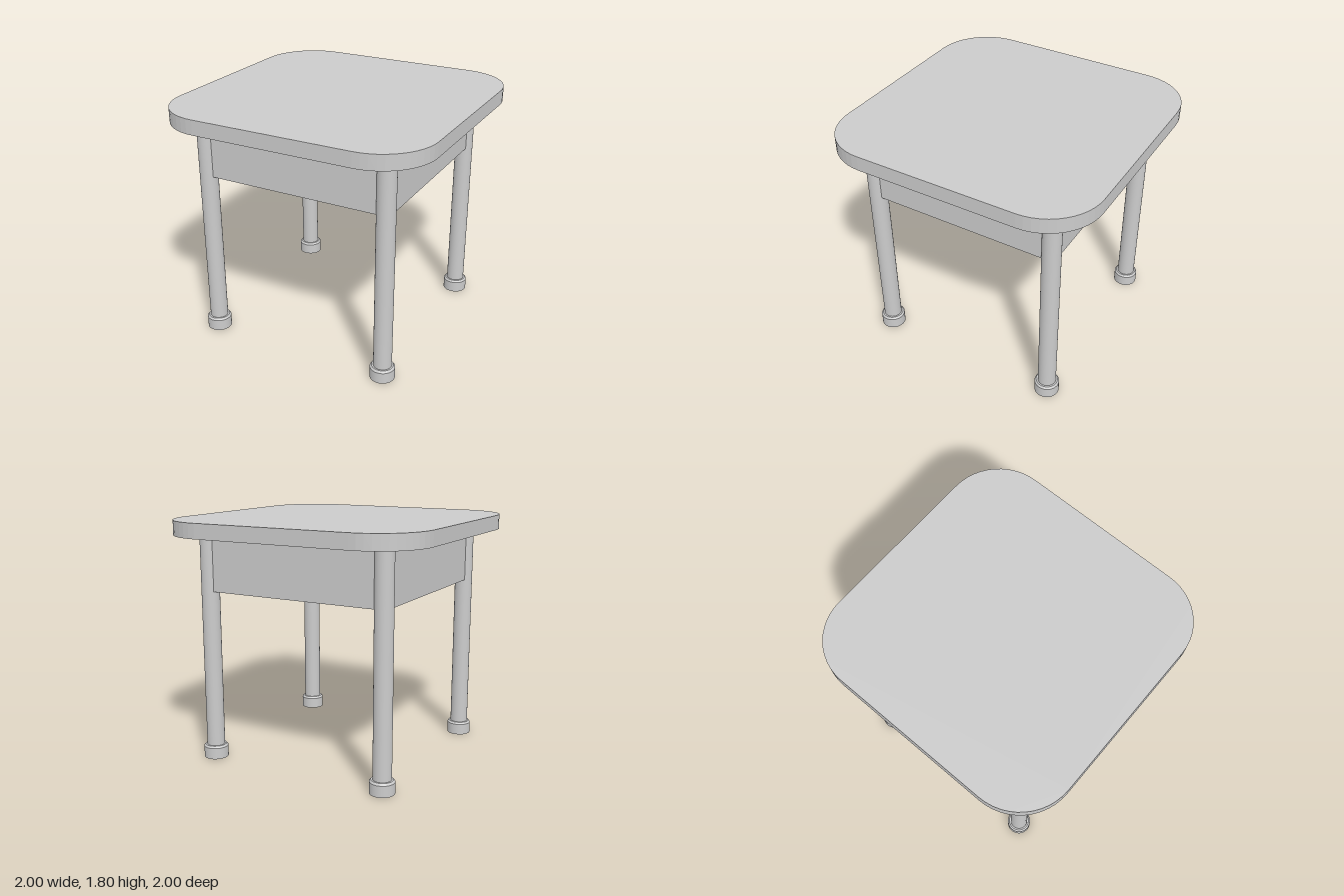
import * as THREE from 'three';

const TOP = 1.8, UNDER = 1.69, APRON_BOTTOM = 1.28;
const HALF = 1, CORNER = 0.4, APRON_HALF = 0.742, LEG = 0.708;

const material = new THREE.MeshStandardMaterial({ color: 0xcccccc });

function part(name, geometry, parent) {
  const mesh = new THREE.Mesh(geometry, material);
  mesh.name = name;
  parent.add(mesh);
  return mesh;
}

// Square outline with rounded corners
function roundedSquare(half, radius) {
  const shape = new THREE.Shape();
  const c = half - radius;
  const centres = [[c, c], [-c, c], [-c, -c], [c, -c]];
  centres.forEach(([x, y], i) => {
    shape.absarc(x, y, radius, i * Math.PI / 2, (i + 1) * Math.PI / 2, false);
  });
  shape.closePath();
  return shape;
}

export function createModel() {
  const table = new THREE.Group();
  table.name = 'sideTable';

  // Table top: faceted rounded corners, sharp rims
  const topGeometry = new THREE.ExtrudeGeometry(roundedSquare(HALF, CORNER), {
    depth: TOP - UNDER, bevelEnabled: false, curveSegments: 6,
  });
  topGeometry.rotateX(-Math.PI / 2);
  part('tableTop', topGeometry, table).position.y = UNDER;

  // Closed box apron whose corners end inside the legs
  const apronHeight = UNDER - APRON_BOTTOM;
  const apron = part('apron', new THREE.BoxGeometry(APRON_HALF * 2, apronHeight, APRON_HALF * 2), table);
  apron.position.y = APRON_BOTTOM + apronHeight / 2;

  // Round legs, each in a wider foot cap with a chamfered rim
  const legGeometry = new THREE.CylinderGeometry(0.067, 0.067, UNDER - 0.09, 32);
  const capGeometry = new THREE.CylinderGeometry(0.091, 0.091, 0.085, 32);
  const rimGeometry = new THREE.CylinderGeometry(0.079, 0.091, 0.015, 32);
  for (const [zName, sz] of [['front', 1], ['back', -1]]) {
    for (const [xName, sx] of [['Left', 1], ['Right', -1]]) {
      const leg = new THREE.Group();
      leg.name = `${zName}${xName}Leg`;
      leg.position.set(sx * LEG - 0.002, 0, sz * LEG + 0.003);
      part('post', legGeometry, leg).position.y = (UNDER + 0.09) / 2;
      part('footCap', capGeometry, leg).position.y = 0.0425;
      part('footRim', rimGeometry, leg).position.y = 0.0925;
      table.add(leg);
    }
  }
  return table;
}
